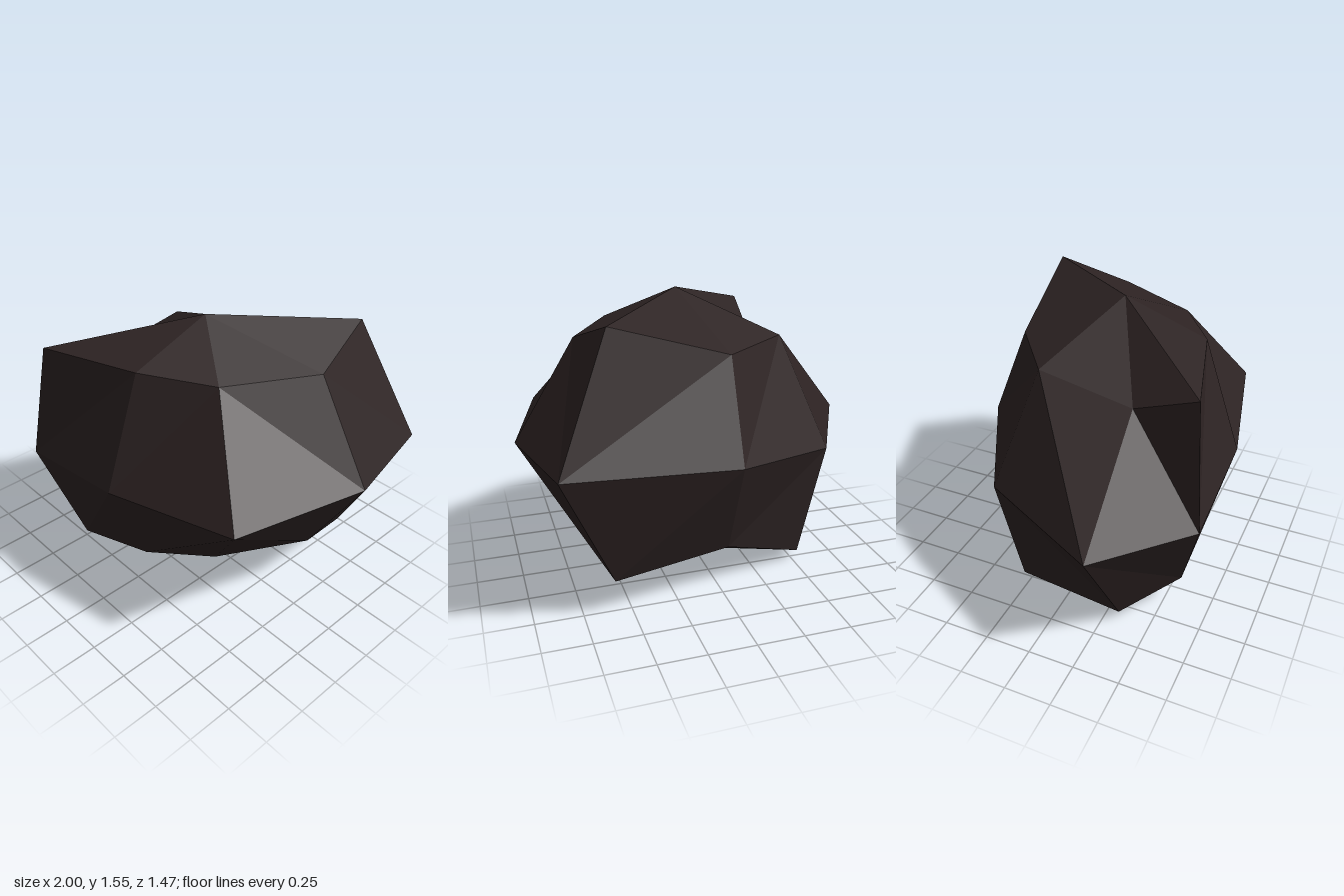
import * as THREE from 'three';

// Cross-sections of the boulder, each running anticlockwise seen from above from +x
const upperRing = [
  [0.68, 1.37, -0.16], [0.59, 1.5, -0.55], [-0.04, 1.3, -0.47], [-0.41, 1.31, -0.19],
  [-0.43, 1.22, 0.32], [-0.47, 1.36, 0.66], [0.09, 1.39, 0.51], [0.43, 1.37, 0.29],
];
const middleRing = [
  [1.0, 0.85, -0.16], [0.87, 0.85, -0.74], [-0.04, 0.78, -0.68], [-0.64, 0.7, -0.36],
  [-1.0, 0.7, 0.32], [-0.57, 0.7, 0.73], [0.09, 0.78, 0.72], [0.82, 0.85, 0.56],
];
const lowerRing = [
  [0.68, 0.32, -0.16], [0.59, 0.2, -0.55], [-0.04, 0.25, -0.47], [-0.53, 0.05, -0.28],
  [-0.6, 0.05, 0.33], [-0.35, 0.18, 0.59], [0.09, 0.25, 0.5], [0.43, 0.32, 0.3],
];
const peak = [0.09, 1.55, 0.06];
const base = [0.09, 0, 0.06];

function boulderGeometry() {
  const positions = [];
  const triangle = (...corners) => corners.forEach((p) => positions.push(...p));

  // Side facets; the split of each quad alternates in pairs around the rock
  const band = (top, bottom) => {
    for (let i = 0; i < 8; i++) {
      const j = (i + 1) % 8;
      const [a, b, c, d] = [top[i], top[j], bottom[i], bottom[j]];
      if (i % 4 === 0 || i % 4 === 3) {
        triangle(a, c, d);
        triangle(a, d, b);
      } else {
        triangle(a, c, b);
        triangle(b, c, d);
      }
    }
  };
  band(upperRing, middleRing);
  band(middleRing, lowerRing);

  // Crown and underside fans
  for (let i = 0; i < 8; i++) {
    const j = (i + 1) % 8;
    triangle(peak, upperRing[i], upperRing[j]);
    triangle(base, lowerRing[j], lowerRing[i]);
  }

  const geometry = new THREE.BufferGeometry();
  geometry.setAttribute('position', new THREE.Float32BufferAttribute(positions, 3));
  geometry.computeVertexNormals(); // unshared corners give flat facets
  return geometry;
}

export function createModel() {
  const darkStone = new THREE.MeshStandardMaterial({ color: 0x2d2323 });
  darkStone.name = 'darkStone';

  const boulder = new THREE.Mesh(boulderGeometry(), darkStone);
  boulder.name = 'boulder';

  const model = new THREE.Group();
  model.name = 'rock';
  model.add(boulder);
  return model;
}
